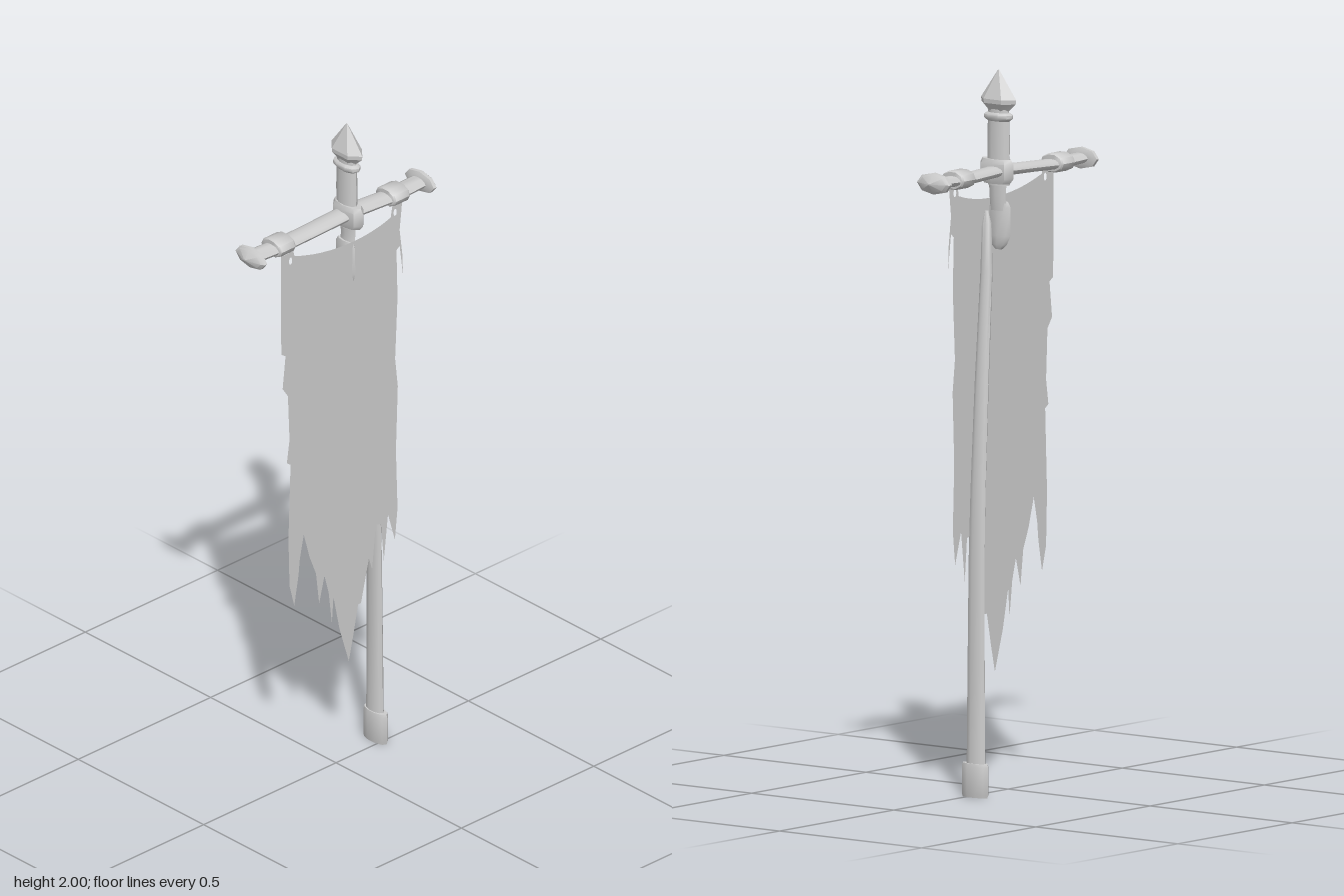
import * as THREE from 'three';
import { toCreasedNormals } from 'three/addons/utils/BufferGeometryUtils.js';

const grey = new THREE.MeshStandardMaterial({ color: 0xcccccc });
grey.name = 'plain grey';
grey.side = THREE.DoubleSide;

// Oval rod through rings listed from top to bottom: [height, cx, cz, rx, rz]
function rodGeometry(rings, sides, crease = 0.9) {
  const last = rings.length - 1;
  const geo = new THREE.CylinderGeometry(1, 1, 1, sides, last);
  const p = geo.attributes.position;
  for (let i = 0; i < p.count; i++) {
    const [h, cx, cz, rx, rz] = rings[Math.round((0.5 - p.getY(i)) * last)];
    p.setXYZ(i, cx + p.getX(i) * rx, h, cz + p.getZ(i) * rz);
  }
  return toCreasedNormals(geo, crease);
}

function addPart(parent, name, geometry) {
  const mesh = new THREE.Mesh(geometry, grey);
  mesh.name = name;
  parent.add(mesh);
  return mesh;
}

// Crossbar with collars and pointed end caps, built upright and laid along x
function createCrossbar() {
  const bar = new THREE.Group();
  bar.name = 'crossbar';
  const lying = (name, rings, sides, crease) =>
    addPart(bar, name, rodGeometry(rings, sides, crease).rotateZ(-Math.PI / 2));

  lying('barShaft', [
    [0.31, 0, 0.005, 0.015, 0.03], [0.2, 0.004, 0.004, 0.015, 0.031],
    [0.04, -0.005, 0.001, 0.016, 0.032], [-0.1, 0, 0, 0.015, 0.031],
    [-0.2, 0.004, -0.003, 0.015, 0.031], [-0.31, 0, -0.005, 0.015, 0.03],
  ], 12);

  for (const s of [1, -1]) {
    const z = s * 0.005;
    const x = s > 0 ? 0.21 : -0.212;
    lying('barCollar', [
      [x + 0.029, 0, z, 0.024, 0.037], [x + 0.025, 0, z, 0.027, 0.041],
      [x - 0.025, 0, z, 0.027, 0.041], [x - 0.029, 0, z, 0.024, 0.037],
    ], 10);
    const cap = [
      [s * 0.34, 0, z, 0.002, 0.004], [s * 0.326, 0, z, 0.024, 0.048],
      [s * 0.32, 0, z, 0.03, 0.058], [s * 0.31, 0, z, 0.03, 0.058],
      [s * 0.305, 0, z, 0.02, 0.036],
    ];
    lying('barEndCap', s > 0 ? cap : cap.reverse(), 8, 0.5);
  }
  bar.position.y = 1.715;
  return bar;
}

// Spear piece that crosses the bar, with a pointed head and a broken lower end
function createSpear() {
  const spear = new THREE.Group();
  spear.name = 'spear';
  const x = 0.041;
  const upright = (name, rows, sides, crease) => addPart(spear, name,
    rodGeometry(rows.map(([h, rx, rz, dx = 0, dz = 0]) => [h, x + dx, dz, rx, rz]), sides, crease));

  upright('spearHead', [
    [2.0, 0.001, 0.002], [1.92, 0.032, 0.062], [1.908, 0.031, 0.06], [1.885, 0.015, 0.034],
  ], 6, 0.3);
  upright('spearRing', [
    [1.882, 0.018, 0.036], [1.876, 0.025, 0.048], [1.866, 0.025, 0.048], [1.858, 0.018, 0.036],
  ], 10);
  upright('spearShaft', [
    [1.9, 0.018, 0.035], [1.8, 0.019, 0.038], [1.68, 0.018, 0.036],
  ], 10);
  upright('spearSocket', [
    [1.753, 0.022, 0.05, 0, 0.006], [1.74, 0.027, 0.058, 0, 0.006],
    [1.7, 0.027, 0.058, 0, 0.006], [1.685, 0.022, 0.045, 0, 0.006],
  ], 8, 0.6);
  upright('spearNeck', [
    [1.7, 0.014, 0.032, 0.003], [1.65, 0.011, 0.028, 0.005], [1.61, 0.011, 0.028],
  ], 8);
  const stub = upright('brokenStub', [
    [1.635, 0.011, 0.03, -0.002, -0.002], [1.62, 0.013, 0.038, -0.003, -0.002],
    [1.54, 0.012, 0.038, -0.003, -0.001], [1.515, 0.011, 0.028, -0.003, 0.002],
    [1.502, 0.006, 0.012, -0.003, 0.002],
  ], 8);
  stub.rotation.z = 0;
  return spear;
}

// Bent, broken pole with a foot cap
function createPole() {
  const pole = new THREE.Group();
  pole.name = 'pole';
  addPart(pole, 'poleShaft', rodGeometry([
    [1.615, 0.094, 0.0, 0.004, 0.006], [1.58, 0.098, -0.004, 0.011, 0.015],
    [1.45, 0.109, -0.012, 0.013, 0.019], [1.15, 0.137, -0.018, 0.013, 0.023],
    [0.85, 0.157, -0.021, 0.012, 0.026], [0.65, 0.165, -0.022, 0.011, 0.028],
    [0.35, 0.168, -0.023, 0.013, 0.03], [0.08, 0.17, -0.024, 0.015, 0.032],
  ], 10));
  addPart(pole, 'poleFoot', rodGeometry([
    [0.094, 0.17, -0.021, 0.018, 0.043], [0.085, 0.17, -0.021, 0.02, 0.046],
    [0.008, 0.17, -0.021, 0.02, 0.046], [0, 0.17, -0.021, 0.018, 0.043],
  ], 10));
  return pole;
}

// Tattered cloth: torn left edge, ragged point, torn right edge
function createBanner() {
  const torn = [
    [-0.237, 1.69], [-0.235, 1.39], [-0.219, 1.38], [-0.23, 1.28], [-0.21, 1.25],
    [-0.204, 1.11], [-0.214, 1.04], [-0.2, 1.03], [-0.208, 0.8], [-0.204, 0.65],
    [-0.186, 0.58], [-0.17, 0.67], [-0.165, 0.72], [-0.15, 0.79], [-0.128, 0.71],
    [-0.104, 0.65], [-0.092, 0.55], [-0.072, 0.63], [-0.056, 0.57], [-0.044, 0.47],
    [-0.038, 0.55], [-0.015, 0.44], [0.02, 0.325], [0.037, 0.4], [0.055, 0.49],
    [0.066, 0.49], [0.096, 0.62], [0.108, 0.58], [0.122, 0.715], [0.142, 0.71],
    [0.152, 0.59], [0.168, 0.73], [0.194, 0.64], [0.204, 0.735], [0.198, 0.92],
    [0.205, 1.12], [0.195, 1.21], [0.204, 1.4], [0.2, 1.55], [0.212, 1.56],
    [0.225, 1.46], [0.222, 1.53], [0.212, 1.61], [0.222, 1.7], [0.185, 1.7],
    [0.178, 1.662],
  ];
  const shape = new THREE.Shape(torn.map(([x, y]) => new THREE.Vector2(x, y)));
  // Sagging upper hem
  shape.bezierCurveTo(0.09, 1.632, -0.05, 1.632, -0.185, 1.682);
  shape.lineTo(-0.19, 1.7);
  shape.lineTo(-0.236, 1.7);
  for (const [x, y] of [[-0.2, 1.672], [0.195, 1.672]]) {
    const tear = new THREE.Path();
    tear.absellipse(x, y, 0.006, 0.011, 0, Math.PI * 2, true);
    shape.holes.push(tear);
  }
  const banner = new THREE.Mesh(new THREE.ShapeGeometry(shape, 12), grey);
  banner.name = 'banner';
  banner.position.z = 0.03;
  return banner;
}

export function createModel() {
  const model = new THREE.Group();
  model.name = 'tatteredStandard';
  model.add(createCrossbar(), createSpear(), createPole(), createBanner());
  return model;
}
